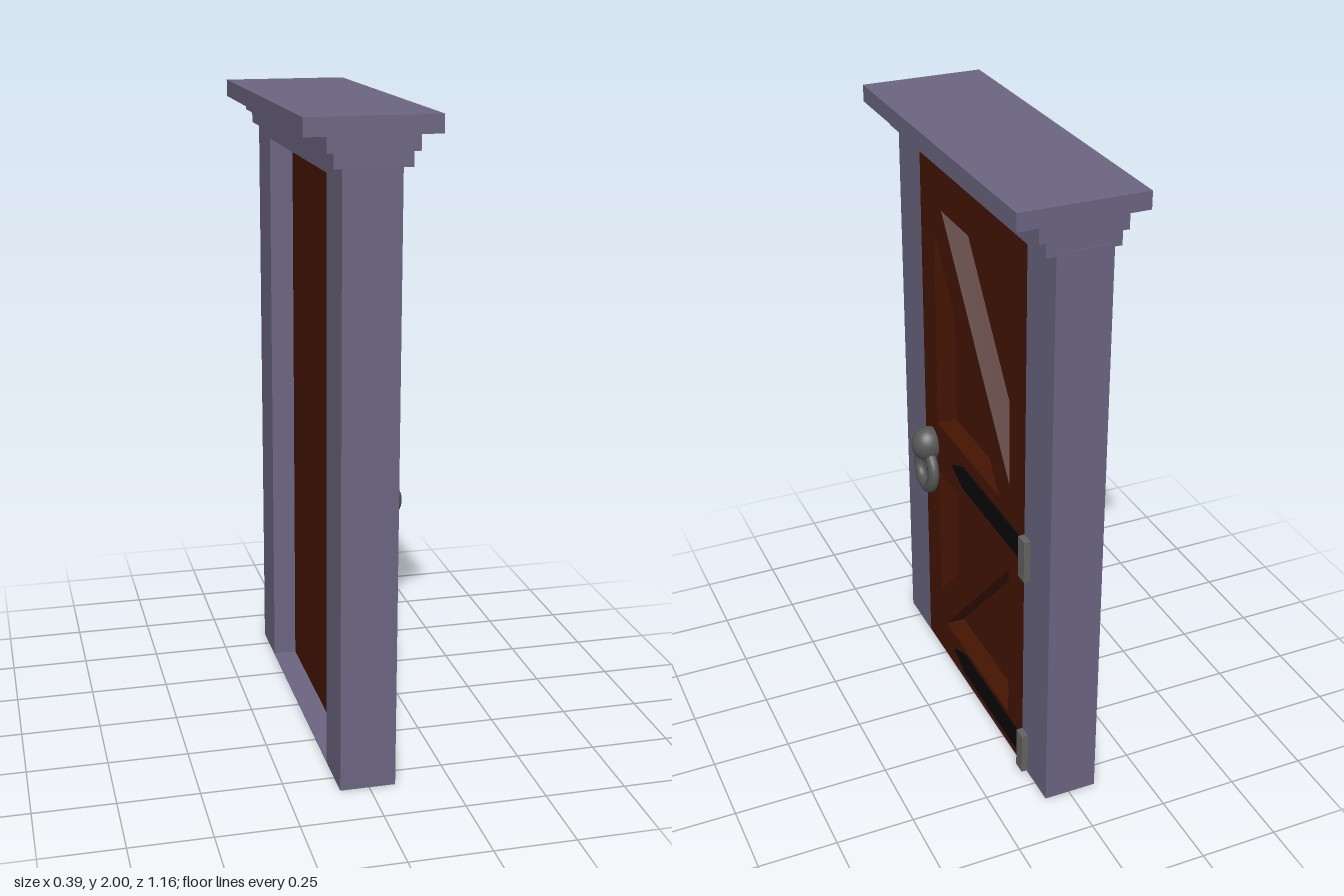
import * as THREE from 'three';

const mat = (color) => new THREE.MeshStandardMaterial({ color });
const stone = mat(0x6b6580), wood = mat(0x441402), iron = mat(0x080808);
const steel = mat(0x626260), darkSteel = mat(0x565656);

// Outline given as [z, y] points, extruded along x from x0 to x1
const outline = (pts, Type = THREE.Shape) => new Type(pts.map(([z, y]) => new THREE.Vector2(-z, y)));
// Counter-clockwise as seen from +x
const rect = (z0, z1, y0, y1) => [[z0, y0], [z0, y1], [z1, y1], [z1, y0]];

function slab(name, material, x0, x1, pts, holes = []) {
  const shape = outline(pts);
  shape.holes = holes.map((h) => outline(h, THREE.Path));
  const geo = new THREE.ExtrudeGeometry(shape, { depth: x1 - x0, bevelEnabled: false });
  geo.rotateY(Math.PI / 2).translate(x0, 0, 0);
  const mesh = new THREE.Mesh(geo, material);
  mesh.name = name;
  return mesh;
}

export function createModel() {
  const model = new THREE.Group();
  model.name = 'door';

  // Frame with a thin sill
  const opening = rect(-0.4, 0.4, 0.004, 1.826);
  model.add(slab('frame', stone, -0.09, 0.081, rect(-0.58, 0.58, 0, 1.87), [opening]));

  // Stepped cornice, one profile run along the full width
  const half = [[0.084, 1.86], [0.111, 1.86], [0.111, 1.902], [0.131, 1.902], [0.131, 1.947], [0.195, 1.947], [0.195, 2]];
  const profile = [...half, ...half.map(([x, y]) => [-x - 0.002, y]).reverse()];
  const corniceGeo = new THREE.ExtrudeGeometry(
    new THREE.Shape(profile.map(([x, y]) => new THREE.Vector2(x, y))),
    { depth: 1.156, bevelEnabled: false });
  corniceGeo.translate(0, 0, -0.578);
  const cornice = new THREE.Mesh(corniceGeo, stone);
  cornice.name = 'cornice';
  model.add(cornice);

  // Door leaf: backing board and a front layer with triangular recesses
  const recesses = [
    [[0.228, 1.692], [-0.288, 1.692], [-0.288, 1.003]],
    [[0.289, 1.597], [0.289, 0.918], [-0.213, 0.918]],
    [[0.289, 0.738], [-0.18, 0.738], [0.289, 0.246]],
    [[-0.288, 0.695], [-0.288, 0.131], [0.243, 0.131]],
  ];
  model.add(slab('doorBack', wood, -0.015, 0.015, opening));
  model.add(slab('doorFront', wood, 0.015, 0.081, opening, recesses));

  // Hinges: pointed strap and plate on the jamb
  for (const [y, plateY] of [[0.077, 0.079], [0.829, 0.821]]) {
    const hinge = new THREE.Group();
    hinge.name = 'hinge';
    hinge.add(slab('hingeStrap', iron, 0.075, 0.087,
      [[-0.4, y - 0.039], [0.07, y - 0.039], [0.16, y], [0.07, y + 0.039], [-0.4, y + 0.039]]));
    hinge.add(slab('hingePlate', steel, 0.075, 0.102, rect(-0.443, -0.4, plateY - 0.071, plateY + 0.071)));
    model.add(hinge);
  }

  // Knob and hanging ring
  const knob = new THREE.Mesh(new THREE.SphereGeometry(1, 32, 20), darkSteel);
  knob.name = 'knob';
  knob.scale.set(0.055, 0.06, 0.053);
  knob.position.set(0.103, 0.824, 0.333);
  const ring = new THREE.Mesh(new THREE.TorusGeometry(0.064, 0.0235, 16, 40).rotateY(Math.PI / 2), darkSteel);
  ring.name = 'pullRing';
  ring.scale.x = 0.8;
  ring.rotation.z = 0.05;
  ring.position.set(0.109, 0.731, 0.333);
  model.add(knob, ring);

  return model;
}
